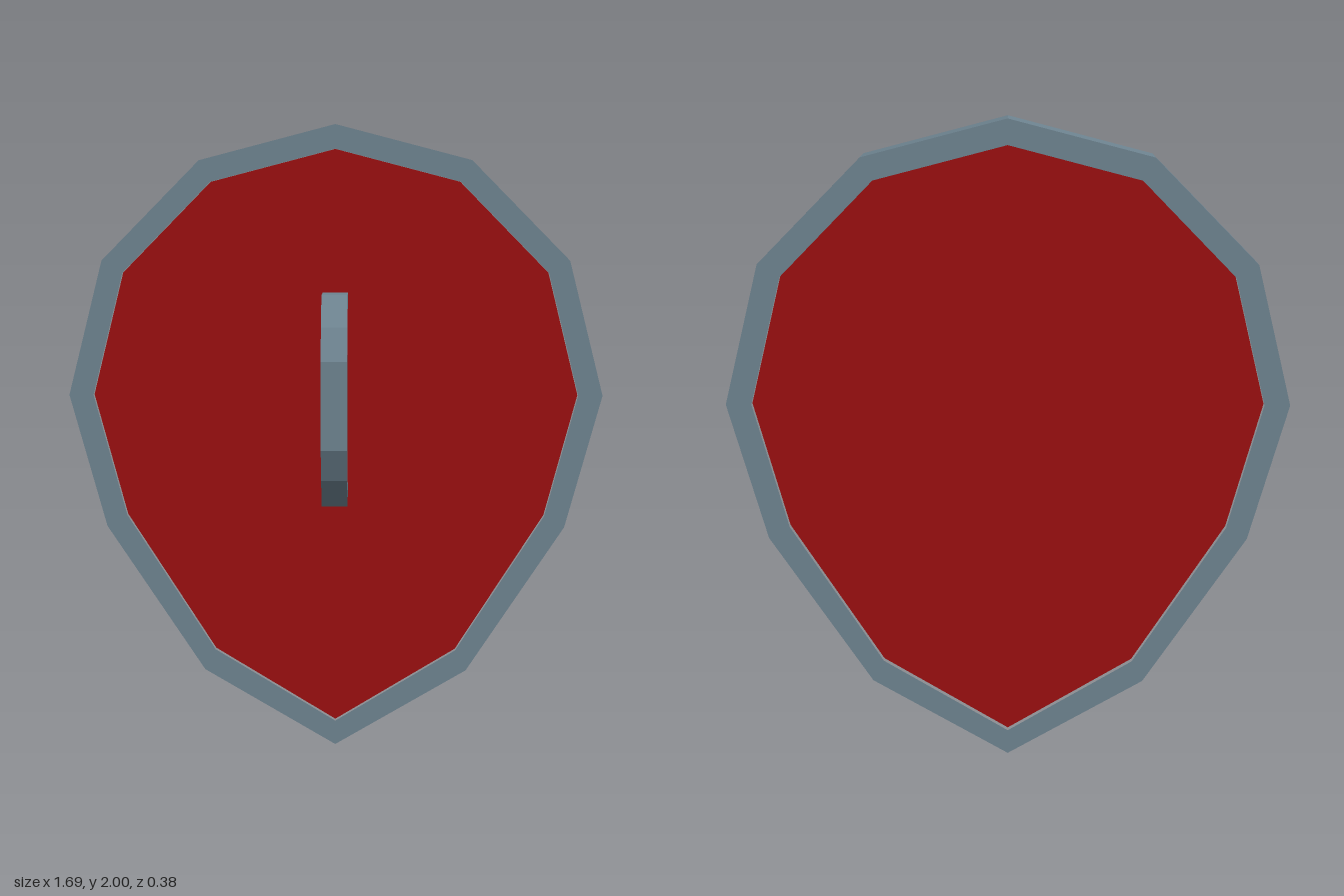
import * as THREE from 'three';

// Right half of each outline, top to bottom; mirrored to close the loop
const OUTER = [[0, 2], [0.425, 1.89], [0.735, 1.58], [0.847, 1.155], [0.735, 0.73], [0.425, 0.253], [0, 0]];
const INNER = [[0, 1.925], [0.39, 1.824], [0.67, 1.542], [0.77, 1.155], [0.67, 0.766], [0.39, 0.32], [0, 0.08]];

// Upper half of the grip, as [z, y] measured from its middle height
const GRIP_Y = 1.152;
const GRIP_OUTER = [[-0.09, 0.328], [0.073, 0.328], [0.145, 0.235], [0.19, 0.135]];
const GRIP_INNER = [[0.105, 0.135], [0.067, 0.235], [0.027, 0.282], [-0.09, 0.282]];

const toPoints = (list) => list.map(([x, y]) => new THREE.Vector2(x, y));

function mirroredOutline(half) {
  const other = half.slice(1, -1).reverse().map(([x, y]) => [-x, y]);
  return toPoints([...half, ...other]);
}

function slab(shape, depth, z) {
  const geometry = new THREE.ExtrudeGeometry(shape, { depth, bevelEnabled: false });
  geometry.translate(0, 0, z);
  return geometry;
}

export function createModel() {
  const model = new THREE.Group();
  model.name = 'shield';

  const steel = new THREE.MeshStandardMaterial({ color: 0x6e8491 });
  steel.name = 'blue grey steel';
  const red = new THREE.MeshStandardMaterial({ color: 0x9c0f10 });
  red.name = 'dark red';

  const add = (name, geometry, material) => {
    const mesh = new THREE.Mesh(geometry, material);
    mesh.name = name;
    model.add(mesh);
  };

  // Faceted rim around the board
  const rim = new THREE.Shape(mirroredOutline(OUTER));
  rim.holes.push(new THREE.Path(mirroredOutline(INNER)));
  add('rim', slab(rim, 0.12, -0.19), steel);

  // Board, slightly recessed on both sides
  add('board', slab(new THREE.Shape(mirroredOutline(INNER)), 0.08, -0.17), red);

  // Angular grip: a side profile extruded across x
  const flip = (list) => list.map(([z, y]) => [z, -y]).reverse();
  const profile = [...GRIP_OUTER, ...flip(GRIP_OUTER), ...flip(GRIP_INNER), ...GRIP_INNER];
  const grip = slab(new THREE.Shape(toPoints(profile)), 0.08, -0.04);
  grip.rotateY(-Math.PI / 2);
  grip.translate(0, GRIP_Y, 0);
  add('grip', grip, steel);

  return model;
}
